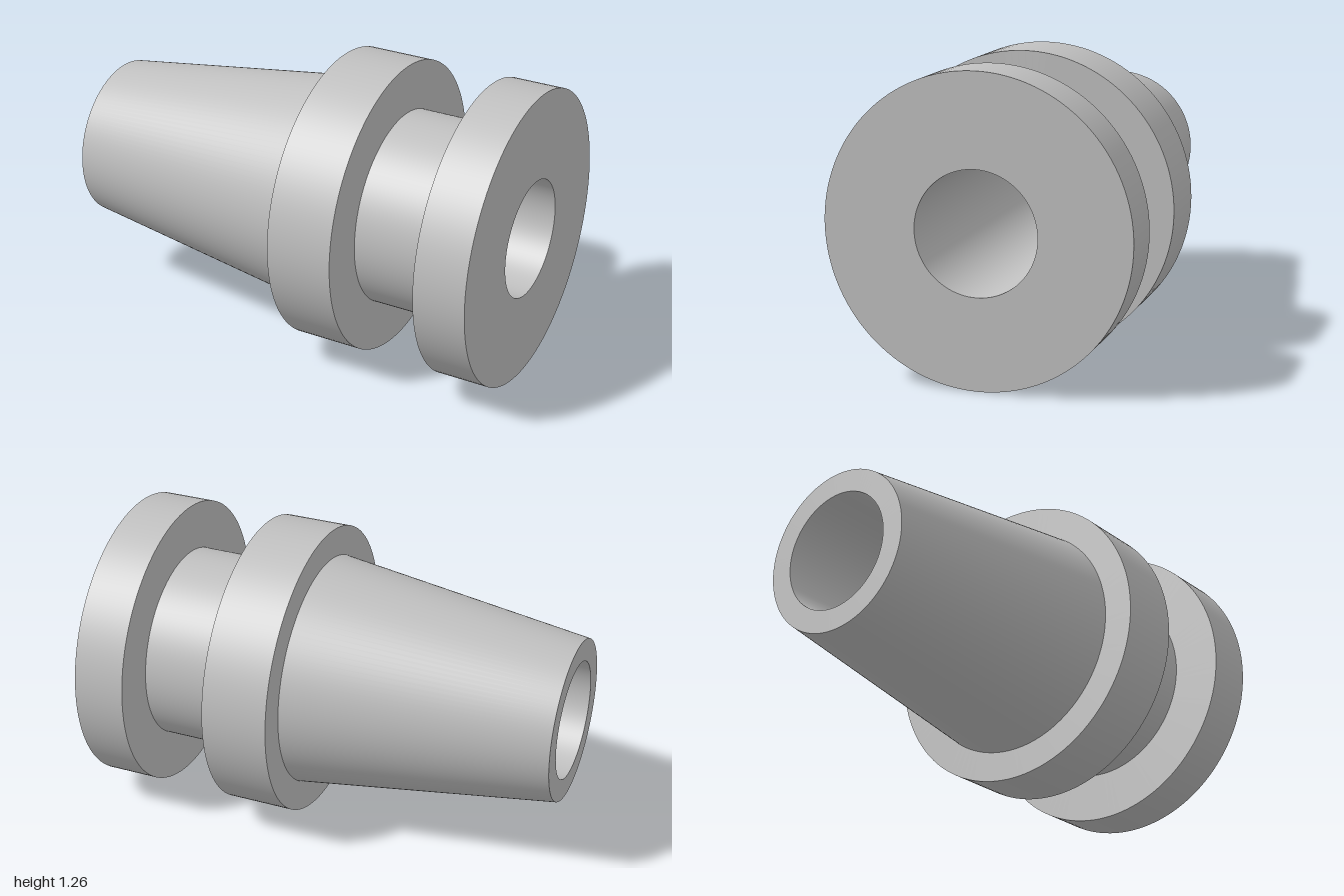
import * as THREE from 'three';
import { mergeGeometries } from 'three/addons/utils/BufferGeometryUtils.js';

const SEGMENTS = 128;
const CENTRE_Y = 0.63;

// Revolves each straight run of [radius, x] points separately, so corners stay sharp.
function turned(name, profile, material) {
  const bands = [];
  for (let i = 0; i < profile.length - 1; i++) {
    const ends = [profile[i], profile[i + 1]].map(([r, x]) => new THREE.Vector2(r, x));
    bands.push(new THREE.LatheGeometry(ends, SEGMENTS));
  }
  const geometry = mergeGeometries(bands);
  geometry.rotateZ(-Math.PI / 2); // lathe axis to +x
  const mesh = new THREE.Mesh(geometry, material);
  mesh.name = name;
  return mesh;
}

export function createModel() {
  const steel = new THREE.MeshStandardMaterial({ color: 0xc0c0c0 });
  steel.name = 'steel grey';

  const bore = 0.252, rim = 0.63, neck = 0.42;
  const model = new THREE.Group();
  model.name = 'taperedSleeve';

  const body = new THREE.Group();
  body.name = 'body';
  body.position.y = CENTRE_Y;
  body.add(
    // Tapered shank with its annular end face
    turned('taperedShank', [[bore, -1], [0.348, -1], [0.502, 0.12]], steel),
    // Wide collar beside the shank
    turned('innerCollar', [[0.502, 0.12], [rim, 0.12], [rim, 0.407], [neck, 0.407]], steel),
    // Groove between the collars
    turned('neck', [[neck, 0.407], [neck, 0.777]], steel),
    // End collar with its outer face
    turned('endCollar', [[neck, 0.777], [rim, 0.777], [rim, 1], [bore, 1]], steel),
    // Straight hole through the whole length
    turned('bore', [[bore, 1], [bore, -1]], steel),
  );
  model.add(body);
  return model;
}
